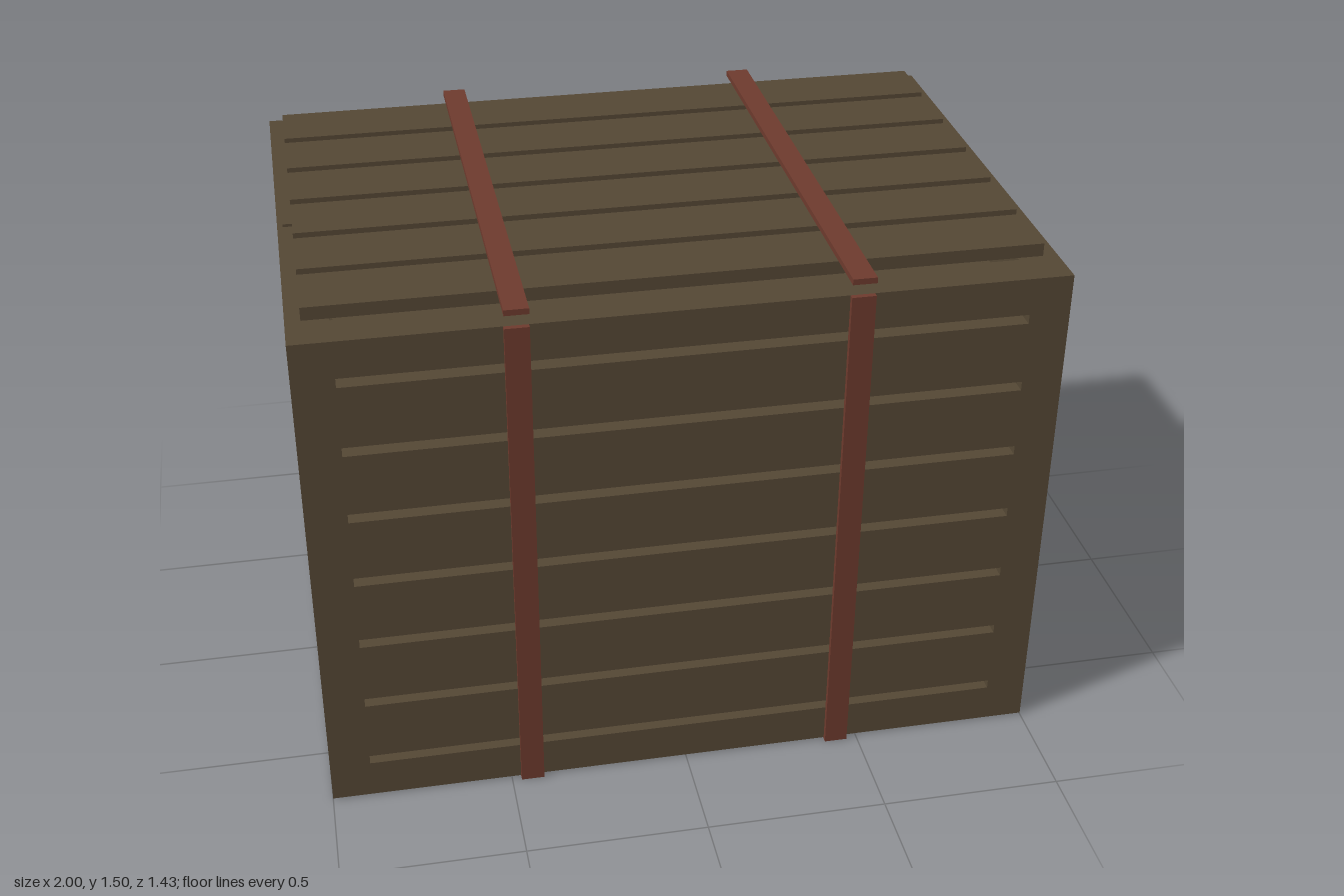
import * as THREE from 'three';

const W = 2, H = 1.44, D = 1.4, T = 0.11; // crate size and wall thickness

export function createModel() {
  const wood = new THREE.MeshStandardMaterial({ color: 0x544734 });
  wood.name = 'brown wood';
  const strap = new THREE.MeshStandardMaterial({ color: 0x6d3a2d });
  strap.name = 'rust red strap';

  const crate = new THREE.Group();
  crate.name = 'crate';

  function add(name, geometry, material, x = 0, y = 0, z = 0) {
    const mesh = new THREE.Mesh(geometry, material);
    mesh.name = name;
    mesh.position.set(x, y, z);
    crate.add(mesh);
    return mesh;
  }

  // Box given by its lower and upper limits on each axis
  function block(name, material, [x0, x1], [y0, y1], [z0, z1]) {
    add(name, new THREE.BoxGeometry(x1 - x0, y1 - y0, z1 - z0), material,
      (x0 + x1) / 2, (y0 + y1) / 2, (z0 + z1) / 2);
  }

  // Rectangle outline, centred on x
  function rect(Type, width, y0, y1) {
    const h = width / 2;
    return new Type([[-h, y0], [h, y0], [h, y1], [-h, y1]]
      .map(([x, y]) => new THREE.Vector2(x, y)));
  }

  // Wall with seven horizontal slots, its thickness centred on z
  function slottedWall(width) {
    const shape = rect(THREE.Shape, width, 0, H);
    for (let i = 0; i < 7; i++) {
      const y = 0.11 + i * 0.2;
      shape.holes.push(rect(THREE.Path, width - 2 * T, y, y + 0.026));
    }
    return new THREE.ExtrudeGeometry(shape, { depth: T, bevelEnabled: false })
      .translate(0, 0, -T / 2);
  }

  // Four walls
  const longWall = slottedWall(W), shortWall = slottedWall(D);
  for (const s of [1, -1]) {
    add(s > 0 ? 'frontWall' : 'backWall', longWall, wood, 0, 0, s * (D - T) / 2);
    add(s > 0 ? 'leftWall' : 'rightWall', shortWall, wood, s * (W - T) / 2, 0, 0)
      .rotation.y = Math.PI / 2;
  }

  // Inner box behind the slots
  block('innerBox', wood, [-0.88, 0.88], [0.11, 1.322], [-0.58, 0.58]);

  // Spaced floor planks
  for (let i = 0; i < 5; i++) {
    const x = -0.82 + i * 0.34;
    block('floorPlank', wood, [x, x + 0.18], [0, 0.11], [-0.59, 0.59]);
  }

  // Lid planks on a thin batten
  for (let i = 0; i < 6; i++) {
    const z = -0.653 + i * 0.2105;
    block('lidPlank', wood, [-0.96, 0.96], [H, 1.476], [z, z + 0.18]);
  }
  block('lidBatten', wood, [-0.985, 0.985], [H, 1.448], [-0.038, 0.04]);

  // Two straps around the crate
  for (const c of [-0.442, 0.438]) {
    const x = [c - 0.032, c + 0.032];
    block('topStrap', strap, x, [1.476, 1.492], [-0.715, 0.715]);
    block('bottomStrap', strap, x, [-0.004, 0.01], [-0.715, 0.715]);
    block('frontStrap', strap, x, [0, H], [0.7, 0.715]);
    block('backStrap', strap, x, [0, H], [-0.715, -0.7]);
  }

  return crate;
}
